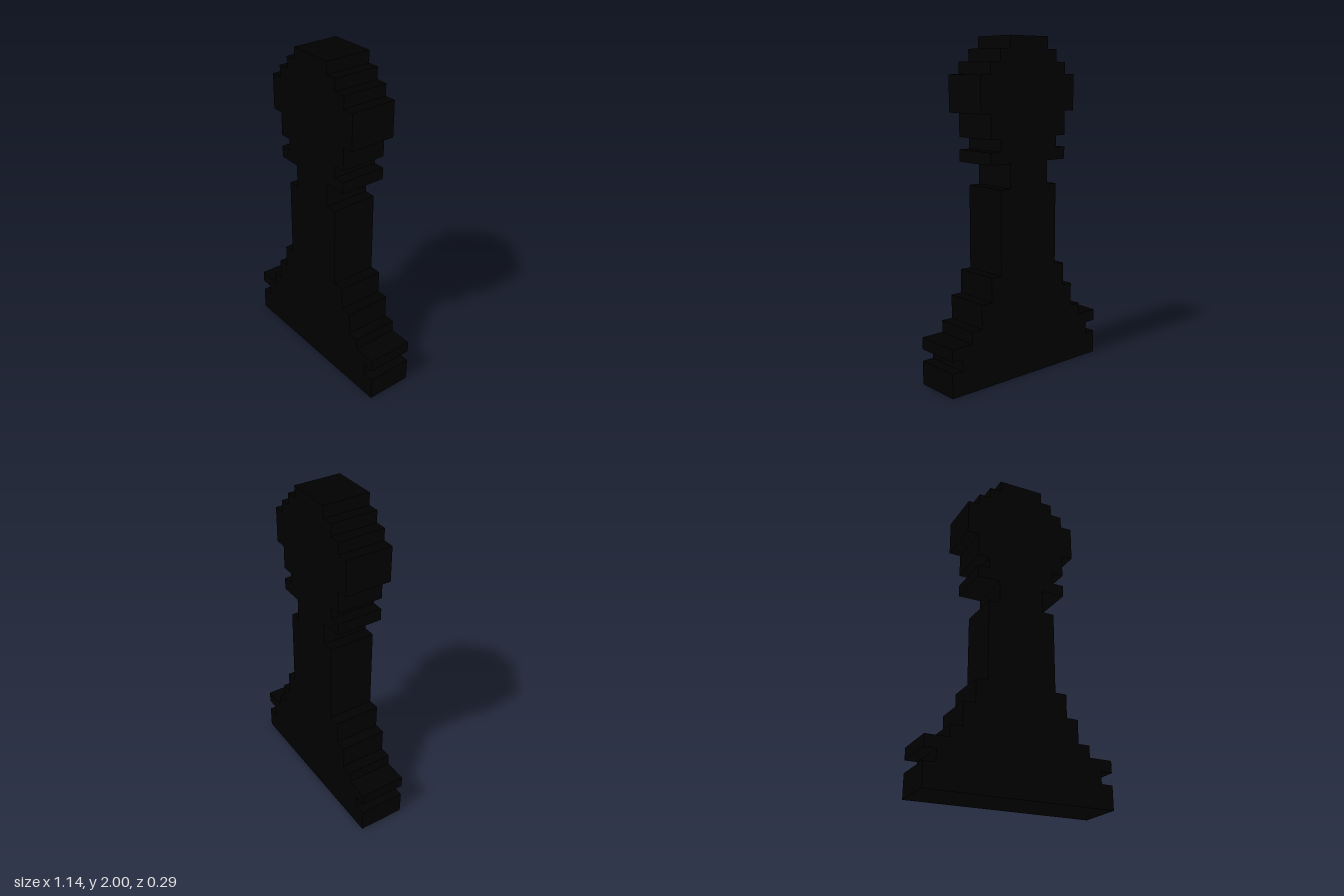
import * as THREE from 'three';

const U = 1 / 14; // one pixel step
const DEPTH = 4 * U;

// Each part is a stack of steps: [half width, top height], in pixels
const PARTS = [
  { name: 'base', bottom: 0, steps: [[8, 2], [7, 3], [8, 4], [6, 5], [5, 7], [4, 9]] },
  { name: 'stem', bottom: 9, steps: [[3, 16], [2, 18]] },
  { name: 'collar', bottom: 18, steps: [[4, 19], [3, 20]] },
  { name: 'head', bottom: 20, steps: [[4, 22], [5, 25], [4, 26], [3, 27], [2, 28]] },
];

// Mirrored stepped outline, extruded to a flat slab
function steppedSlab({ bottom, steps }) {
  const right = [];
  let y = bottom;
  for (const [w, top] of steps) {
    right.push(new THREE.Vector2(w * U, y * U), new THREE.Vector2(w * U, top * U));
    y = top;
  }
  const left = right.map((p) => new THREE.Vector2(-p.x, p.y)).reverse();
  const geometry = new THREE.ExtrudeGeometry(new THREE.Shape([...right, ...left]), {
    depth: DEPTH,
    bevelEnabled: false,
  });
  return geometry.translate(0, 0, -DEPTH / 2);
}

export function createModel() {
  const model = new THREE.Group();
  model.name = 'pixelChessPawn';
  const black = new THREE.MeshStandardMaterial({ color: 0x000000 });
  for (const part of PARTS) {
    const mesh = new THREE.Mesh(steppedSlab(part), black);
    mesh.name = part.name;
    model.add(mesh);
  }
  return model;
}
